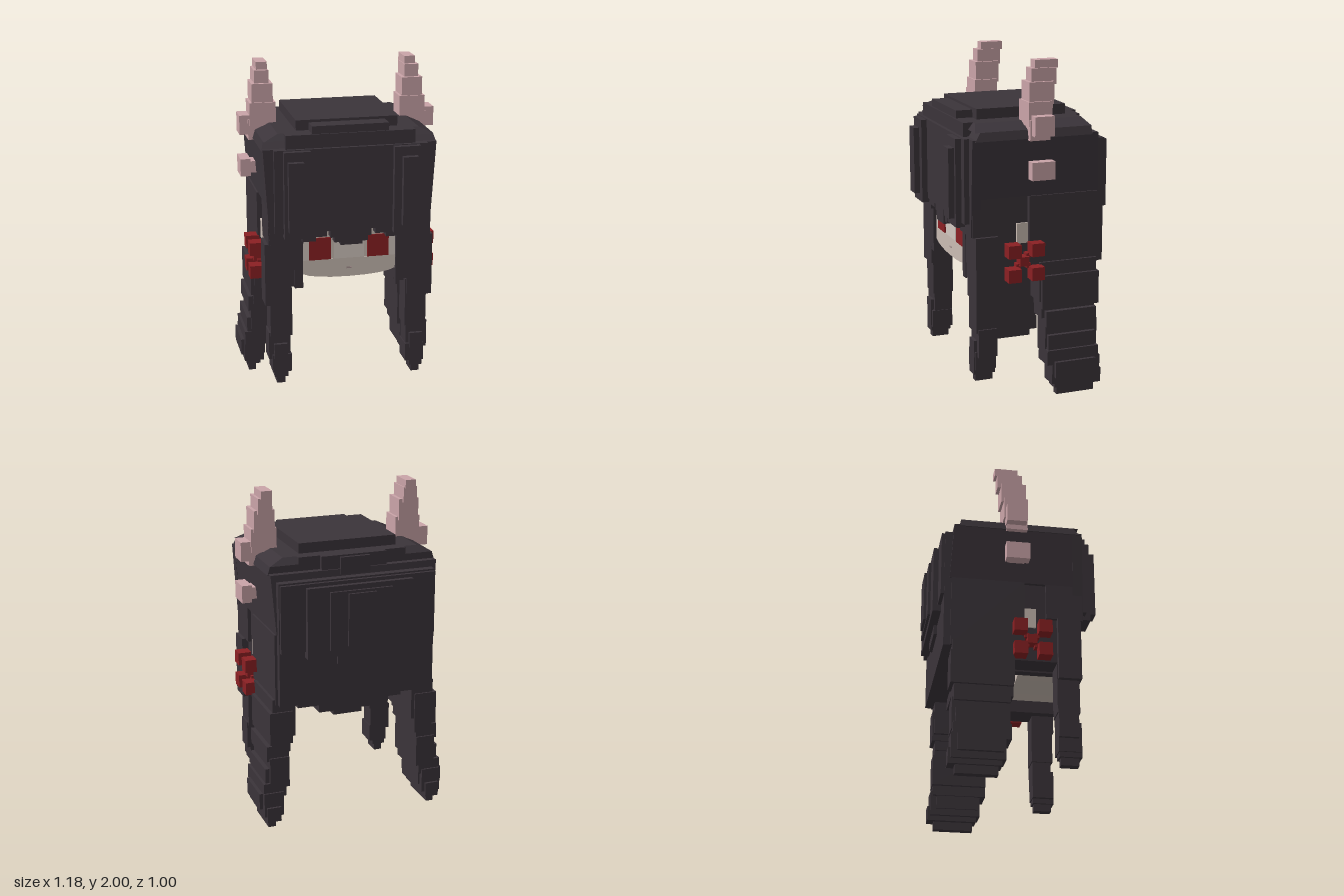
import * as THREE from 'three';

const mat = (name, color) => {
  const m = new THREE.MeshStandardMaterial({ color });
  m.name = name;
  return m;
};

export function createModel() {
  const hair = mat('dark hair', 0x3b343a);
  const horn = mat('pink horn', 0xcaa4a8);
  const red = mat('red', 0x8b2023);
  const skin = mat('skin', 0xcabcb3);
  const pale = mat('pale eye white', 0xd3c8c0);
  const lip = mat('mouth', 0xa89392);

  const root = new THREE.Group();
  const group = (name) => {
    const g = new THREE.Group();
    g.name = name;
    root.add(g);
    return g;
  };

  // Box given by its limits; top = [x0, x1, z0, z1] tapers the upper face.
  const box = (parent, name, m, x0, x1, y0, y1, z0, z1, top) => {
    let geo = new THREE.BoxGeometry(x1 - x0, y1 - y0, z1 - z0);
    geo.translate((x0 + x1) / 2, (y0 + y1) / 2, (z0 + z1) / 2);
    if (top) {
      const p = geo.attributes.position, midX = (x0 + x1) / 2, midZ = (z0 + z1) / 2, midY = (y0 + y1) / 2;
      for (let i = 0; i < p.count; i++) {
        if (p.getY(i) < midY) continue;
        p.setX(i, p.getX(i) < midX ? top[0] : top[1]);
        p.setZ(i, p.getZ(i) < midZ ? top[2] : top[3]);
      }
      geo = geo.toNonIndexed();
      geo.computeVertexNormals();
    }
    const mesh = new THREE.Mesh(geo, m);
    mesh.name = name;
    parent.add(mesh);
  };
  // The same box on both sides of x = 0.
  const pair = (g, name, m, x0, x1, y0, y1, z0, z1, top) => {
    box(g, name + 'Left', m, x0, x1, y0, y1, z0, z1, top);
    box(g, name + 'Right', m, -x1, -x0, y0, y1, z0, z1, top && [-top[1], -top[0], top[2], top[3]]);
  };

  // Face: head core, rounded chin, eyes and mouth
  const face = group('face');
  box(face, 'headCore', skin, -0.285, 0.285, 0.85, 1.1, -0.1, 0.36);
  const chin = new THREE.Shape();
  chin.moveTo(-0.285, 0.88);
  chin.lineTo(-0.285, 0.8);
  chin.quadraticCurveTo(-0.22, 0.765, 0, 0.765);
  chin.quadraticCurveTo(0.22, 0.765, 0.285, 0.8);
  chin.lineTo(0.285, 0.88);
  const chinGeo = new THREE.ExtrudeGeometry(chin, { depth: 0.3, bevelEnabled: false, curveSegments: 4 });
  chinGeo.translate(0, 0, 0.065);
  const chinMesh = new THREE.Mesh(chinGeo, skin);
  chinMesh.name = 'chin';
  face.add(chinMesh);
  pair(face, 'eye', red, 0.11, 0.24, 0.88, 1.015, 0.36, 0.368);
  pair(face, 'eyeWhite', pale, 0.24, 0.28, 0.88, 1.015, 0.36, 0.365);
  box(face, 'noseBridge', pale, -0.09, 0.09, 0.88, 1.0, 0.36, 0.365);
  box(face, 'mouth', lip, -0.015, 0.015, 0.815, 0.825, 0.365, 0.368);
  pair(face, 'ear', skin, 0.4, 0.476, 0.94, 1.06, 0.05, 0.12);

  // Crown: stacked slabs with sloping shoulders
  const crown = group('crown');
  box(crown, 'upperHead', hair, -0.485, 0.485, 1.22, 1.57, -0.39, 0.39, [-0.51, 0.51, -0.37, 0.39]);
  box(crown, 'slopingCap', hair, -0.515, 0.515, 1.56, 1.61, -0.33, 0.385, [-0.5, 0.5, -0.33, 0.35]);
  box(crown, 'upperCap', hair, -0.5, 0.5, 1.61, 1.65, -0.33, 0.38, [-0.415, 0.415, -0.3, 0.35]);
  box(crown, 'topSlab', hair, -0.3, 0.3, 1.64, 1.71, -0.25, 0.3);
  box(crown, 'frontTuft', hair, -0.225, 0.225, 1.62, 1.695, 0.28, 0.4);
  box(crown, 'frontBand', hair, -0.38, 0.38, 1.57, 1.65, 0.3, 0.41);
  box(crown, 'rearBandWide', hair, -0.33, 0.33, 1.56, 1.65, -0.33, -0.28);
  box(crown, 'rearBand', hair, -0.2, 0.2, 1.55, 1.65, -0.36, -0.28);
  box(crown, 'rearBandNarrow', hair, -0.09, 0.09, 1.54, 1.64, -0.38, -0.28);

  // Fringe with a notched lower edge and raised locks
  const fringe = group('fringe');
  box(fringe, 'fringePanel', hair, -0.45, 0.45, 1.075, 1.57, 0.35, 0.43);
  pair(fringe, 'fringeCorner', hair, 0.28, 0.475, 1.0, 1.57, 0.34, 0.4, [0.28, 0.51, 0.34, 0.4]);
  box(fringe, 'middleTip', hair, -0.065, 0.065, 0.985, 1.08, 0.36, 0.43);
  [[0.065, 0.1, 1.0], [0.1, 0.122, 1.03], [0.145, 0.21, 1.04], [0.21, 0.29, 1.015]]
    .forEach(([a, b, y], i) => pair(fringe, 'tip' + i, hair, a, b, y, 1.08, 0.36, 0.42));
  pair(fringe, 'lock', hair, 0.245, 0.4, 1.05, 1.565, 0.41, 0.465);
  pair(fringe, 'raisedLock', hair, 0.29, 0.38, 1.1, 1.51, 0.45, 0.5);

  // Side hair
  const sides = group('sideHair');
  pair(sides, 'cheek', hair, 0.28, 0.33, 0.72, 1.1, 0.0, 0.385);
  pair(sides, 'inner', hair, 0.33, 0.465, 0.73, 1.25, -0.1, 0.38);
  pair(sides, 'front', hair, 0.4, 0.485, 1.0, 1.23, 0.18, 0.395);
  pair(sides, 'rear', hair, 0.4, 0.495, 0.79, 1.22, -0.38, 0.05);

  // Back hair: body, layered locks and nape
  const back = group('backHair');
  box(back, 'backPanel', hair, -0.48, 0.48, 0.79, 1.53, -0.42, -0.28);
  [[0.475, 1.12, 1.52, -0.44], [0.325, 1.08, 1.5, -0.47], [0.19, 1.12, 1.47, -0.485], [0.085, 1.14, 1.455, -0.5]]
    .forEach(([x, y0, y1, z], i) => box(back, 'backLock' + i, hair, -x, x, y0, y1, z, -0.4));
  box(back, 'lowerBackLock', hair, -0.13, 0.13, 1.02, 1.3, -0.44, -0.4);
  box(back, 'nape', hair, -0.33, 0.33, 0.72, 1.1, -0.3, -0.1);
  box(back, 'napeTuft', hair, -0.19, 0.19, 0.665, 0.74, -0.28, -0.14);
  box(back, 'napeTip', hair, -0.09, 0.09, 0.63, 0.7, -0.26, -0.16);

  // Hanging locks: stacked boxes [x0, x1, y0, y1, z0, z1]
  const frontLocks = group('frontHangingLocks');
  [[0.35, 0.505, 0.62, 1.0, 0.245, 0.38], [0.345, 0.475, 0.42, 0.72, 0.24, 0.37],
    [0.355, 0.485, 0.27, 0.44, 0.245, 0.36], [0.35, 0.465, 0.19, 0.3, 0.245, 0.375],
    [0.375, 0.455, 0.16, 0.37, 0.25, 0.38], [0.39, 0.44, 0.115, 0.2, 0.26, 0.365]]
    .forEach((b, i) => pair(frontLocks, 'segment' + i, hair, ...b));
  const backLocks = group('backHangingLocks');
  [[0.37, 0.51, 0.58, 0.82, -0.37, -0.01], [0.39, 0.53, 0.54, 0.74, -0.38, -0.02],
    [0.4, 0.515, 0.48, 0.6, -0.36, -0.02], [0.41, 0.545, 0.43, 0.525, -0.36, -0.04],
    [0.41, 0.53, 0.26, 0.45, -0.37, -0.04], [0.44, 0.555, 0.28, 0.38, -0.35, -0.05],
    [0.43, 0.57, 0.2, 0.29, -0.365, -0.04], [0.44, 0.59, 0.12, 0.22, -0.34, -0.085],
    [0.45, 0.57, 0.08, 0.23, -0.375, -0.07], [0.47, 0.555, 0.05, 0.14, -0.39, -0.09],
    [0.495, 0.54, 0, 0.08, -0.35, -0.11]]
    .forEach((b, i) => pair(backLocks, 'segment' + i, hair, ...b));

  // Horns, leaning back as they rise, with side spurs
  const horns = group('horns');
  [[0.375, 0.54, 1.55, 1.67, -0.06, 0.065], [0.375, 0.53, 1.63, 1.77, -0.075, 0.07],
    [0.39, 0.515, 1.75, 1.88, -0.09, 0.06], [0.41, 0.495, 1.86, 1.955, -0.11, 0.04],
    [0.415, 0.48, 1.95, 2.0, -0.125, 0.015]]
    .forEach((b, i) => pair(horns, 'horn' + i, horn, ...b));
  pair(horns, 'upperSpur', horn, 0.5, 0.59, 1.58, 1.695, -0.065, 0.055);
  pair(horns, 'lowerSpurStem', horn, 0.47, 0.55, 1.345, 1.415, -0.05, 0.05);
  pair(horns, 'lowerSpur', horn, 0.53, 0.59, 1.33, 1.435, -0.07, 0.07);

  // Bows: four cubes around a knot, joined diagonally
  const bows = group('bows');
  pair(bows, 'knot', red, 0.455, 0.53, 0.815, 0.87, 0.062, 0.118);
  for (const sy of [-1, 1]) for (const sz of [-1, 1]) {
    const y = 0.842 + sy * 0.072, z = 0.09 + sz * 0.072;
    pair(bows, 'loop', red, 0.485, 0.565, y - 0.039, y + 0.039, z - 0.039, z + 0.039);
    const ky = 0.842 + sy * 0.03, kz = 0.09 + sz * 0.03;
    pair(bows, 'joint', red, 0.46, 0.51, ky - 0.014, ky + 0.014, kz - 0.014, kz + 0.014);
  }
  return root;
}
